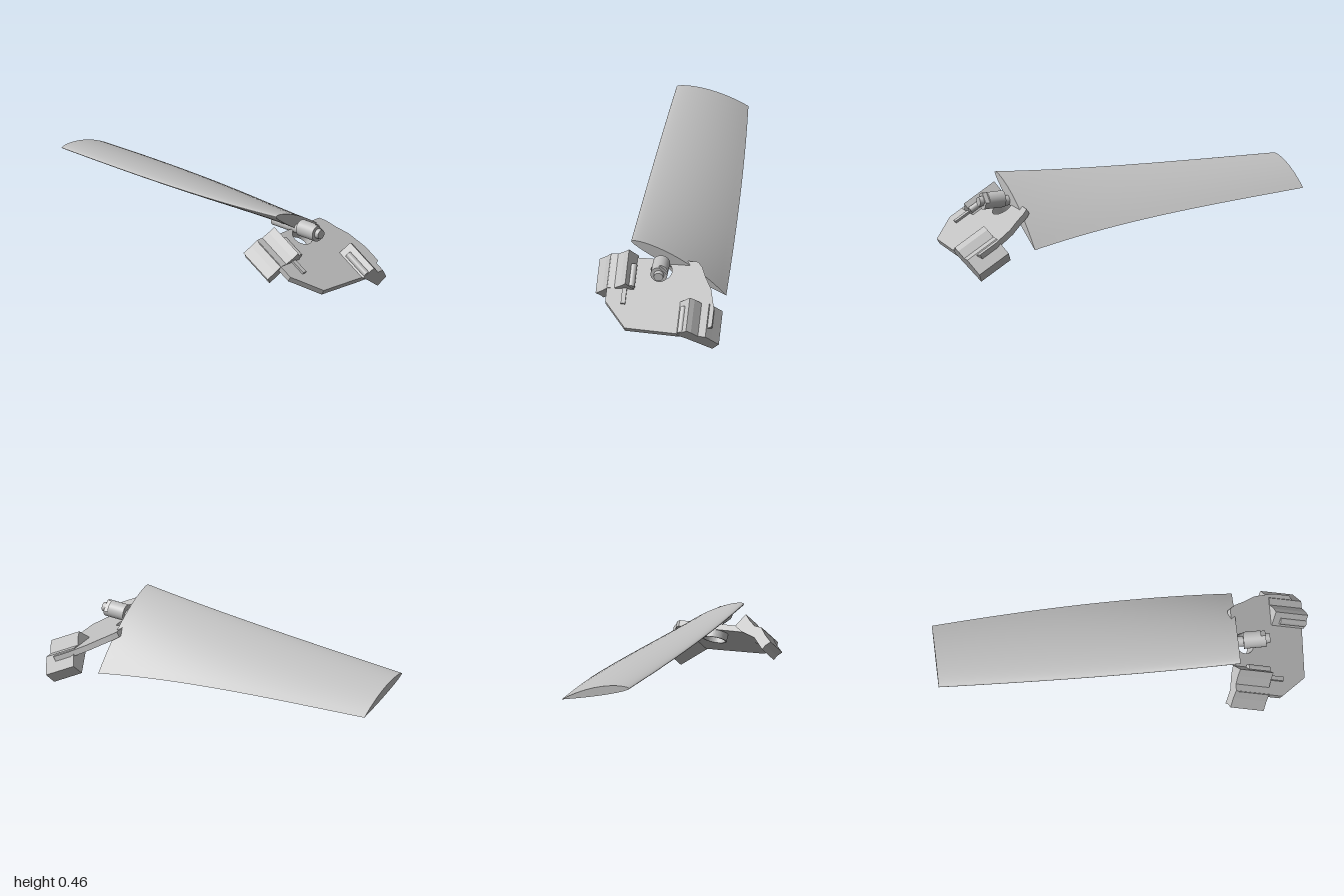
import * as THREE from 'three';

const grey = new THREE.MeshStandardMaterial({ color: 0xc0c0c0 });
grey.name = 'plain grey';

function part(name, geometry, parent) {
  const mesh = new THREE.Mesh(geometry, grey);
  mesh.name = name;
  parent.add(mesh);
  return mesh;
}

// Cambered, twisted blade lofted from airfoil sections along x
const STEPS = 24, ROWS = 32, X0 = -1, X1 = 0.61;

function sectionPoint(s, t, upper) {
  const le = [0.122 + 0.045 * s * (1.6 - 0.6 * s), 0.381 + 0.033 * s + 0.04 * s ** 3];
  const te = [-0.262 - 0.145 * s + 0.064 * s * s, 0.286 - 0.045 * s - 0.093 * s ** 3];
  const dz = te[0] - le[0], dy = te[1] - le[1];
  const round = Math.sqrt(t) * (1 - t);
  const h = upper ? 0.118 * round + 0.19 * t * (1 - t) : -0.08 * round;
  return [X0 + (X1 - X0) * s, le[1] + dy * t - dz * h, le[0] + dz * t + dy * h];
}

function sectionLoop(s) {
  const points = [];
  for (let i = -STEPS; i <= STEPS; i++) points.push(sectionPoint(s, (i / STEPS) ** 2, i < 0));
  return points;
}

function gridGeometry(rows, flip) {
  const n = rows[0].length, index = [];
  for (let r = 0; r < rows.length - 1; r++) {
    for (let i = 0; i < n - 1; i++) {
      const a = r * n + i, b = a + 1, c = a + n, d = c + 1;
      if (flip) index.push(a, b, c, b, d, c);
      else index.push(a, c, b, b, c, d);
    }
  }
  const g = new THREE.BufferGeometry();
  g.setAttribute('position', new THREE.Float32BufferAttribute(rows.flat(2), 3));
  g.setIndex(index);
  g.computeVertexNormals();
  return g;
}

function addBlade(root) {
  const blade = new THREE.Group();
  blade.name = 'blade';
  const rows = [];
  for (let r = 0; r <= ROWS; r++) rows.push(sectionLoop(r / ROWS));
  part('bladeSkin', gridGeometry(rows, true), blade);
  // Flat end caps join the upper and lower halves of a section
  for (const s of [0, 1]) {
    const loop = sectionLoop(s);
    const upper = loop.slice(0, STEPS + 1).reverse(), lower = loop.slice(STEPS);
    part(s ? 'bladeRootCap' : 'bladeTipCap', gridGeometry([upper, lower], s === 0), blade);
  }
  root.add(blade);
}

// Profile of [z, height] points extruded along the bracket's slope
function rail(profile, from, to) {
  const shape = new THREE.Shape(profile.map(([z, v]) => new THREE.Vector2(-z, v)));
  const g = new THREE.ExtrudeGeometry(shape, { depth: to - from, bevelEnabled: false });
  return g.rotateY(Math.PI / 2).translate(from, 0, 0);
}

function rod(radius, from, to, y, z, endRadius = radius) {
  const g = new THREE.CylinderGeometry(endRadius, radius, to - from, 32);
  return g.rotateZ(-Math.PI / 2).translate((from + to) / 2, y, z);
}

function addBracket(root) {
  const bracket = new THREE.Group();
  bracket.name = 'bracket';
  bracket.position.set(0.645, 0.302, 0);
  bracket.rotation.z = -Math.PI / 6;

  // Sloping plate with a round hole for the shaft
  const outline = [
    [-0.066, 0.28], [0.204, 0.28], [0.355, 0.16], [0.368, -0.12], [0.368, -0.2],
    [0.31, -0.303], [0.204, -0.303], [0.09, -0.276], [0.024, -0.24], [-0.035, -0.215],
    [-0.066, -0.19],
  ];
  const plate = new THREE.Shape(outline.map(([u, z]) => new THREE.Vector2(u, -z)));
  plate.holes.push(new THREE.Path().absarc(0, 0, 0.057, 0, Math.PI * 2, true));
  const plateGeometry = new THREE.ExtrudeGeometry(plate, {
    depth: 0.032, bevelEnabled: false, curveSegments: 24,
  });
  part('plate', plateGeometry.rotateX(-Math.PI / 2).translate(0, -0.032, 0), bracket);

  // Sleeve hanging below the hole
  const sleeve = new THREE.Shape().absarc(0, 0, 0.065, 0, Math.PI * 2, false);
  sleeve.holes.push(new THREE.Path().absarc(0, 0, 0.057, 0, Math.PI * 2, true));
  const sleeveGeometry = new THREE.ExtrudeGeometry(sleeve, {
    depth: 0.04, bevelEnabled: false, curveSegments: 24,
  });
  part('sleeve', sleeveGeometry.rotateX(-Math.PI / 2).translate(0, -0.072, 0), bracket);

  // Stepped clamps on the two sides
  part('frontClamp', rail([
    [0.13, -0.006], [0.178, 0.064], [0.205, 0.033], [0.24, 0.004], [0.277, 0.001],
    [0.305, -0.036], [0.345, -0.074], [0.32, -0.095], [0.305, -0.12],
    [0.25, -0.06], [0.17, -0.032],
  ], -0.08, 0.124), bracket);
  part('rearClamp', rail([
    [-0.12, 0.004], [-0.175, 0.061], [-0.2, 0.043], [-0.235, 0.005], [-0.275, 0.005],
    [-0.305, -0.03], [-0.343, -0.074], [-0.305, -0.131], [-0.173, -0.03],
  ], 0.18, 0.378), bracket);

  // Pins beside each clamp and a narrow raised bar
  part('frontPin', rod(0.018, -0.01, 0.123, 0.025, 0.147), bracket);
  part('rearPin', rod(0.018, 0.22, 0.377, 0.022, -0.143), bracket);
  const bar = new THREE.BoxGeometry(0.11, 0.016, 0.024);
  part('raisedBar', bar.translate(0.16, 0.004, 0.184), bracket);
  root.add(bracket);
}

// Shaft through the plate, with a collar notched in one quarter
function addShaft(root) {
  const shaft = new THREE.Group();
  shaft.name = 'shaft';
  shaft.position.y = 0.35;
  part('spindle', rod(0.027, 0.44, 0.73, -0.012, 0), shaft);
  part('collar', rod(0.045, 0.64, 0.735, 0, 0), shaft);
  const jaw = new THREE.Shape();
  jaw.moveTo(0, 0);
  jaw.absarc(0, 0, 0.045, Math.PI / 2, Math.PI * 2, false);
  const jawGeometry = new THREE.ExtrudeGeometry(jaw, {
    depth: 0.025, bevelEnabled: false, curveSegments: 24,
  });
  part('jaw', jawGeometry.rotateY(Math.PI / 2).translate(0.735, 0, 0), shaft);
  part('nose', rod(0.03, 0.73, 0.783, 0, 0, 0.025), shaft);
  root.add(shaft);
}

export function createModel() {
  const root = new THREE.Group();
  root.name = 'bladeAndBracket';
  addBlade(root);
  addBracket(root);
  addShaft(root);
  return root;
}
